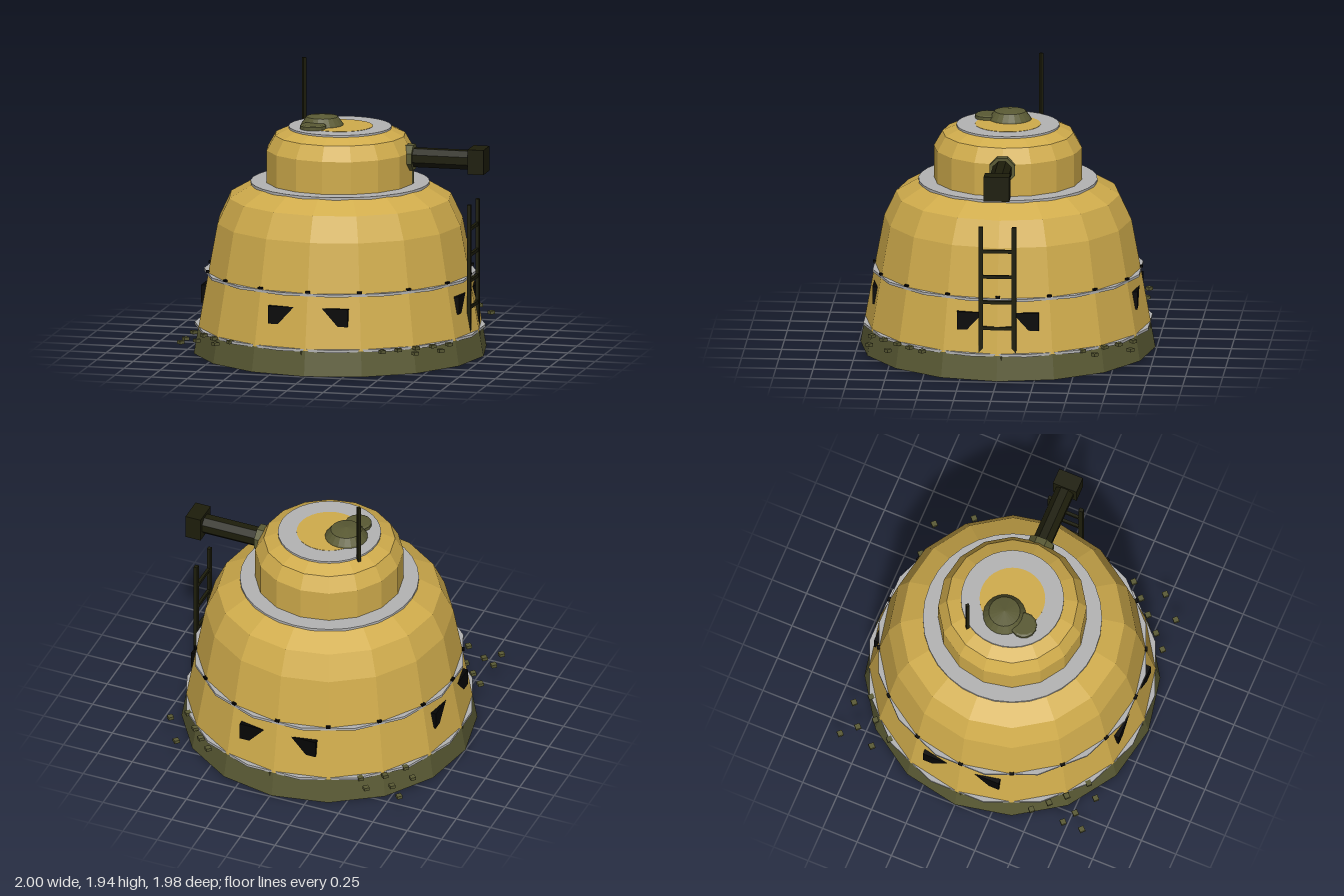
import * as THREE from 'three';

const mat = (name, color, extra = {}) => {
  const m = new THREE.MeshStandardMaterial({ color, flatShading: true, ...extra });
  m.name = name;
  return m;
};

export function createModel() {
  const gold = mat('sandGold', 0xd0ac4c);
  const olive = mat('olive', 0x5a5a34, { side: THREE.DoubleSide });
  const dark = mat('darkGunmetal', 0x1d1d0b);
  const black = mat('black', 0x050505);
  const grey = mat('grey', 0xb4b4b4);

  const model = new THREE.Group();
  model.name = 'domeTurret';
  const CX = -0.01; // axis of the round parts
  const add = (name, geo, material, x = 0, y = 0, z = 0, parent = model) => {
    const m = new THREE.Mesh(geo, material);
    m.name = name;
    m.position.set(x, y, z);
    parent.add(m);
    return m;
  };
  const box = (w, h, d) => new THREE.BoxGeometry(w, h, d);
  const lathe = (pts, seg = 16) =>
    new THREE.LatheGeometry(pts.map(([r, y]) => new THREE.Vector2(r, y)), seg);
  const band = (inner, outer, y0, y1, seg) =>
    lathe([[inner, y0], [outer, y0], [outer, y1], [inner, y1]], seg);

  // Foundation and main dome
  add('foundation', lathe([[0.99, 0], [0.96, 0.17]]), olive, CX);
  add('mainDome', lathe([[0.96, 0.17], [0.893, 0.54], [0.83, 0.88], [0.75, 1.05], [0.595, 1.14], [0, 1.14]]), gold, CX);

  // Underside with an opening, its two inner walls and a recessed floor
  const ring = new THREE.Shape();
  for (let i = 0; i < 16; i++) {
    const a = (i * Math.PI) / 8;
    ring[i ? 'lineTo' : 'moveTo'](0.99 * Math.cos(a), 0.99 * Math.sin(a));
  }
  const hole = new THREE.Path();
  [[0.69, 0.69], [0.88, 0.3], [0.88, -0.3], [0.69, -0.69], [-0.69, -0.69], [-0.88, -0.3], [-0.88, 0.3], [-0.69, 0.69]].forEach(([u, v], i) => {
    hole[i ? 'lineTo' : 'moveTo']((u - v) * Math.SQRT1_2, (u + v) * Math.SQRT1_2);
  });
  ring.holes.push(hole);
  add('underside', new THREE.ShapeGeometry(ring).rotateX(Math.PI / 2), olive, CX, 0.001);
  for (const s of [-1, 1]) {
    const d = s * 0.695 * Math.SQRT1_2;
    add('innerWall', box(1.32, 0.165, 0.008), olive, CX + d, 0.084, -d).rotation.y = -Math.PI / 4;
  }
  add('floorRim', new THREE.CircleGeometry(0.94, 16).rotateX(Math.PI / 2), grey, CX, 0.178);
  add('floor', new THREE.PlaneGeometry(1.36, 1.36).rotateX(Math.PI / 2).rotateY(Math.PI / 4), olive, CX, 0.168);

  // Grey trim bands; the two lower ones are turned half a side against the dome
  add('lowerBand', band(0.9, 0.975, 0.163, 0.181, 16), grey, CX).rotation.y = Math.PI / 16;
  add('middleBand', band(0.82, 0.912, 0.529, 0.547, 16), grey, CX).rotation.y = Math.PI / 16;
  add('upperBand', band(0.45, 0.6, 1.132, 1.15, 32), grey, CX);

  // Rivets above the middle band
  for (let i = 0; i < 16; i++) {
    const a = (i * Math.PI) / 8;
    add('rivet', box(0.03, 0.014, 0.03), black, CX + 0.89 * Math.sin(a), 0.557, 0.89 * Math.cos(a)).rotation.y = a;
  }

  // Vision slits: one wide plate per side, partly sunk in the dome
  for (let i = 0; i < 4; i++) {
    const a = (i * Math.PI) / 2;
    add('visionSlit', box(0.55, 0.12, 0.06), black, CX + 0.86 * Math.sin(a), 0.39, 0.86 * Math.cos(a)).rotation.y = a;
  }

  // Ground studs at the corners, [x, z], plus rows below the floor
  const studs = [
    [-0.89, -0.88], [-0.65, -0.88], [-0.8, -0.79], [-0.57, -0.79], [-0.71, -0.7], [-0.89, -0.65], [-0.8, -0.56],
    [0.5, -0.88], [0.73, -0.88], [0.59, -0.79], [0.67, -0.7], [0.87, -0.65], [0.78, -0.56],
    [-0.89, 0.51], [-0.8, 0.6], [-0.71, 0.69], [-0.89, 0.74], [-0.8, 0.79], [-0.57, 0.79], [-0.89, 0.875], [-0.65, 0.875],
    [0.87, 0.51], [0.78, 0.6], [0.69, 0.69], [0.87, 0.74], [0.59, 0.79], [0.5, 0.875], [0.73, 0.875],
  ];
  for (const sx of [-1, 1]) for (const sz of [-1, 1]) for (let k = 0; k < 4; k++) {
    const d = 0.62 - k * 0.09;
    studs.push([sx * d, sz * d], [sx * (d - 0.14), sz * (d + 0.09)], [sx * (d + 0.09), sz * (d - 0.14)]);
  }
  const studGeo = new THREE.CylinderGeometry(0.026, 0.026, 0.022, 4);
  for (const [x, z] of studs) add('groundStud', studGeo, olive, x, 0.172, z);

  // Upper turret and its roof
  const turret = new THREE.Group();
  turret.name = 'upperTurret';
  model.add(turret);
  add('turretShell', lathe([[0.497, 1.14], [0.497, 1.37], [0.44, 1.47], [0.35, 1.512], [0, 1.512]]), gold, CX, 0, 0, turret);
  add('roofBand', band(0.21, 0.345, 1.508, 1.525, 32), grey, CX, 0, 0, turret);
  add('roofCentre', new THREE.CylinderGeometry(0.22, 0.22, 0.014, 32), gold, CX, 1.52, 0, turret);

  // Hatch, periscope and antenna
  add('hatch', lathe([[0.146, 1.52], [0.14, 1.535], [0.105, 1.582], [0, 1.6]], 20), olive, -0.135, 0, -0.005, turret);
  add('periscope', lathe([[0.088, 1.52], [0.088, 1.548], [0.075, 1.556], [0, 1.556]], 14), olive, -0.16, 0, 0.145, turret);
  add('antenna', new THREE.CylinderGeometry(0.015, 0.015, 0.44, 4), dark, -0.308, 1.72, -0.2, turret);

  // Gun
  const tube = (r, len) => new THREE.CylinderGeometry(r, r, len, 8).rotateY(Math.PI / 8).rotateZ(Math.PI / 2);
  add('gunCollar', tube(0.092, 0.06), olive, 0.473, 1.335, 0, turret);
  add('gunBarrel', tube(0.068, 0.5), dark, 0.66, 1.335, 0, turret);
  add('muzzle', box(0.11, 0.168, 0.172), dark, 0.945, 1.335, 0, turret);
  add('gunBracket', box(0.03, 0.12, 0.048), olive, 0.473, 1.21, -0.023, turret);

  // Ladder
  const ladder = new THREE.Group();
  ladder.name = 'ladder';
  model.add(ladder);
  for (const s of [-1, 1]) add('ladderRail', box(0.024, 0.87, 0.03), dark, 0.911, 0.615, s * 0.112, ladder);
  for (const y of [0.35, 0.53, 0.706, 0.882]) add('ladderRung', box(0.02, 0.022, 0.22), dark, 0.911, y, 0, ladder);

  return model;
}
